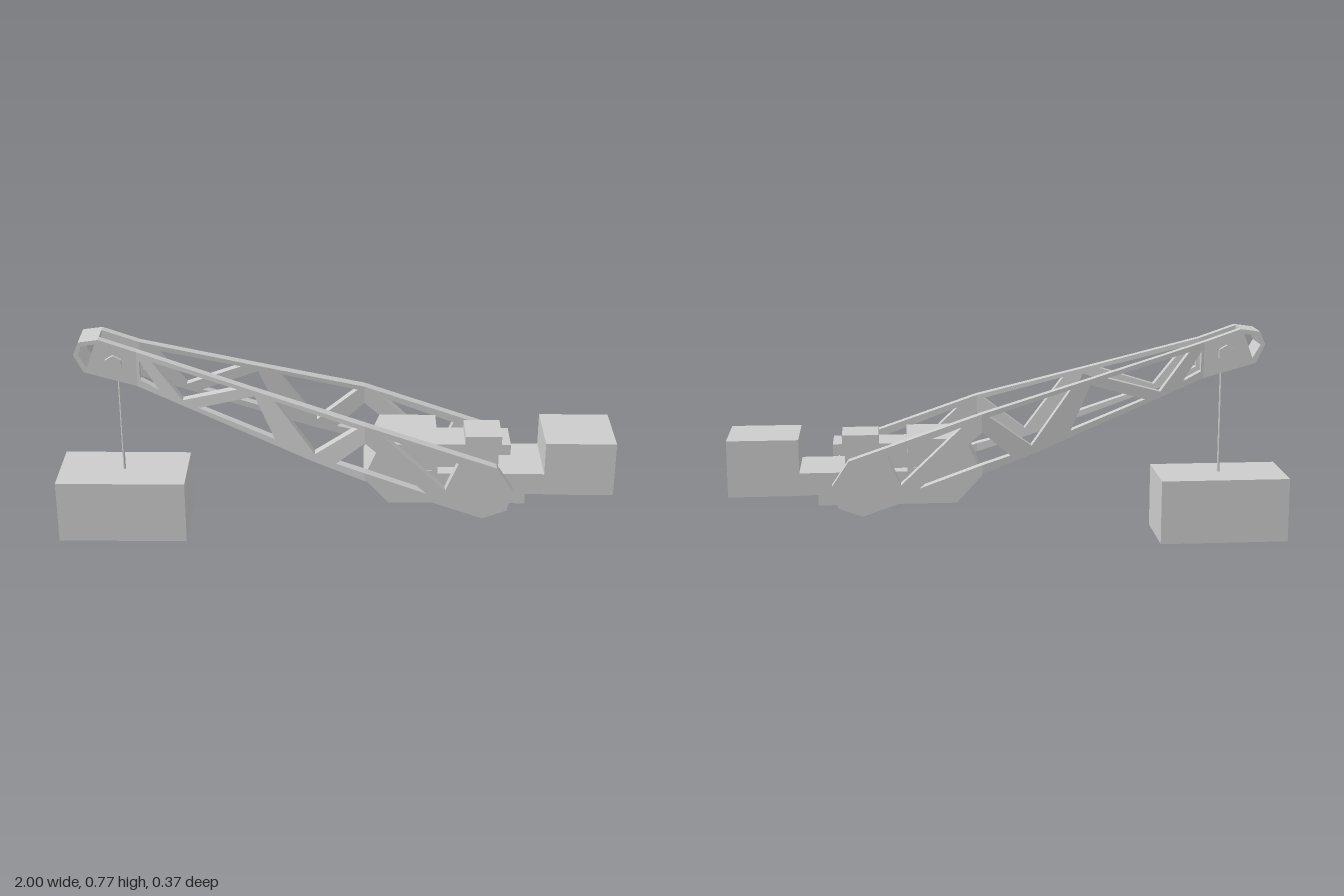
import * as THREE from 'three';

const mat = new THREE.MeshStandardMaterial({ color: 0xcccccc, flatShading: true });

function add(parent, name, geometry, x = 0, y = 0, z = 0) {
  const mesh = new THREE.Mesh(geometry, mat);
  mesh.name = name;
  mesh.position.set(x, y, z);
  parent.add(mesh);
  return mesh;
}

// Box given by its limits on each axis
function box(parent, name, [x0, x1], [y0, y1], [z0, z1]) {
  return add(parent, name, new THREE.BoxGeometry(x1 - x0, y1 - y0, z1 - z0),
    (x0 + x1) / 2, (y0 + y1) / 2, (z0 + z1) / 2);
}

// Flat plate from a side outline with holes, from z = 0 to z = depth
function plate(outline, holes = [], depth = 1) {
  const points = (list) => list.map(([x, y]) => new THREE.Vector2(x, y));
  const shape = new THREE.Shape(points(outline));
  holes.forEach((h) => shape.holes.push(new THREE.Path(points(h))));
  return new THREE.ExtrudeGeometry(shape, { depth, bevelEnabled: false });
}

// Six-sided pin running across the model
function hexPin(parent, name, radius, halfLength, x, y, turn = 0) {
  const g = new THREE.CylinderGeometry(radius, radius, halfLength * 2, 6);
  g.rotateY(turn).rotateX(Math.PI / 2);
  return add(parent, name, g, x, y, 0);
}

// The arms run parallel at both ends and spread between these two bends
const BEND_TIP = -0.69, BEND_BASE = 0.11;

function spreadArm(geometry, side) {
  const p = geometry.attributes.position;
  for (let i = 0; i < p.count; i++) {
    const t = THREE.MathUtils.clamp((p.getX(i) - BEND_TIP) / (BEND_BASE - BEND_TIP), 0, 1);
    const inner = THREE.MathUtils.lerp(0.031, 0.15, t);
    const outer = THREE.MathUtils.lerp(0.061, 0.187, t);
    const near = p.getZ(i) > 0.5;
    p.setZ(i, side > 0 ? (near ? outer : inner) : (near ? -inner : -outer));
  }
  geometry.computeVertexNormals();
  return geometry;
}

const armSections = {
  armTip: {
    outline: [[-0.69, 0.722], [-0.82, 0.767], [-0.89, 0.757], [-0.91, 0.71], [-0.877, 0.644], [-0.69, 0.592]],
    holes: [[[-0.88, 0.742], [-0.833, 0.75], [-0.865, 0.662], [-0.893, 0.71]]],
  },
  armTruss: {
    outline: [[-0.69, 0.722], [-0.69, 0.592], [-0.075, 0.35], [0.11, 0.287], [0.11, 0.318],
      [0.01, 0.347], [0.11, 0.435], [0.11, 0.5], [-0.27, 0.604]],
    holes: [
      [[-0.68, 0.69], [-0.68, 0.617], [-0.615, 0.585]],
      [[-0.635, 0.688], [-0.335, 0.607], [-0.53, 0.55]],
      [[-0.475, 0.525], [-0.275, 0.585], [-0.205, 0.425]],
      [[-0.205, 0.572], [0.085, 0.489], [-0.065, 0.378]],
    ],
  },
  armBase: {
    outline: [[0.11, 0.5], [0.11, 0.435], [0.33, 0.238], [0.11, 0.318], [0.11, 0.287], [0.53, 0.14],
      [0.615, 0.172], [0.635, 0.25], [0.575, 0.34]],
    holes: [[[0.18, 0.455], [0.44, 0.357], [0.395, 0.25]]],
  },
};

export function createModel() {
  const model = new THREE.Group();
  model.name = 'crane';

  // Pair of lattice arms
  const boom = new THREE.Group();
  boom.name = 'boom';
  model.add(boom);
  for (const side of [1, -1]) {
    const arm = new THREE.Group();
    arm.name = side > 0 ? 'leftArm' : 'rightArm';
    for (const [name, s] of Object.entries(armSections)) {
      add(arm, name, spreadArm(plate(s.outline, s.holes), side));
    }
    boom.add(arm);
  }

  // Strip that wraps the tip between the arms
  add(boom, 'tipStrip', plate([[-0.82, 0.767], [-0.89, 0.757], [-0.91, 0.71], [-0.877, 0.644],
    [-0.865, 0.662], [-0.893, 0.71], [-0.88, 0.742], [-0.82, 0.75]], [], 0.062), 0, 0, -0.031);
  hexPin(boom, 'tipAxle', 0.032, 0.075, -0.77, 0.68);

  // Hanging load
  add(model, 'rope', new THREE.CylinderGeometry(0.005, 0.005, 0.45, 6), -0.765, 0.455, -0.004);
  box(model, 'load', [-1, -0.535], [0, 0.233], [-0.138, 0.121]);

  // Machine body with its low rear deck
  const body = new THREE.Group();
  body.name = 'body';
  model.add(body);
  add(body, 'housing', plate([[0.107, 0.265], [0.197, 0.167], [0.685, 0.167], [0.685, 0.205], [0.76, 0.205],
    [0.76, 0.285], [0.37, 0.285], [0.37, 0.4], [0.165, 0.4]], [], 0.246), 0, 0, -0.124);
  box(body, 'sidePanel', [0.25, 0.35], [0.18, 0.3], [-0.13, 0.127]);
  box(body, 'counterweight', [0.75, 1], [0.203, 0.405], [-0.125, 0.122]);
  hexPin(body, 'boomPivot', 0.06, 0.152, 0.497, 0.25);

  // Winch cover stacked on the deck
  box(body, 'winchBase', [0.37, 0.59], [0.28, 0.337], [-0.07, 0.07]);
  box(body, 'winchCover', [0.37, 0.632], [0.335, 0.375], [-0.07, 0.07]);
  box(body, 'winchTop', [0.47, 0.6], [0.37, 0.406], [-0.07, 0.07]);

  return model;
}
